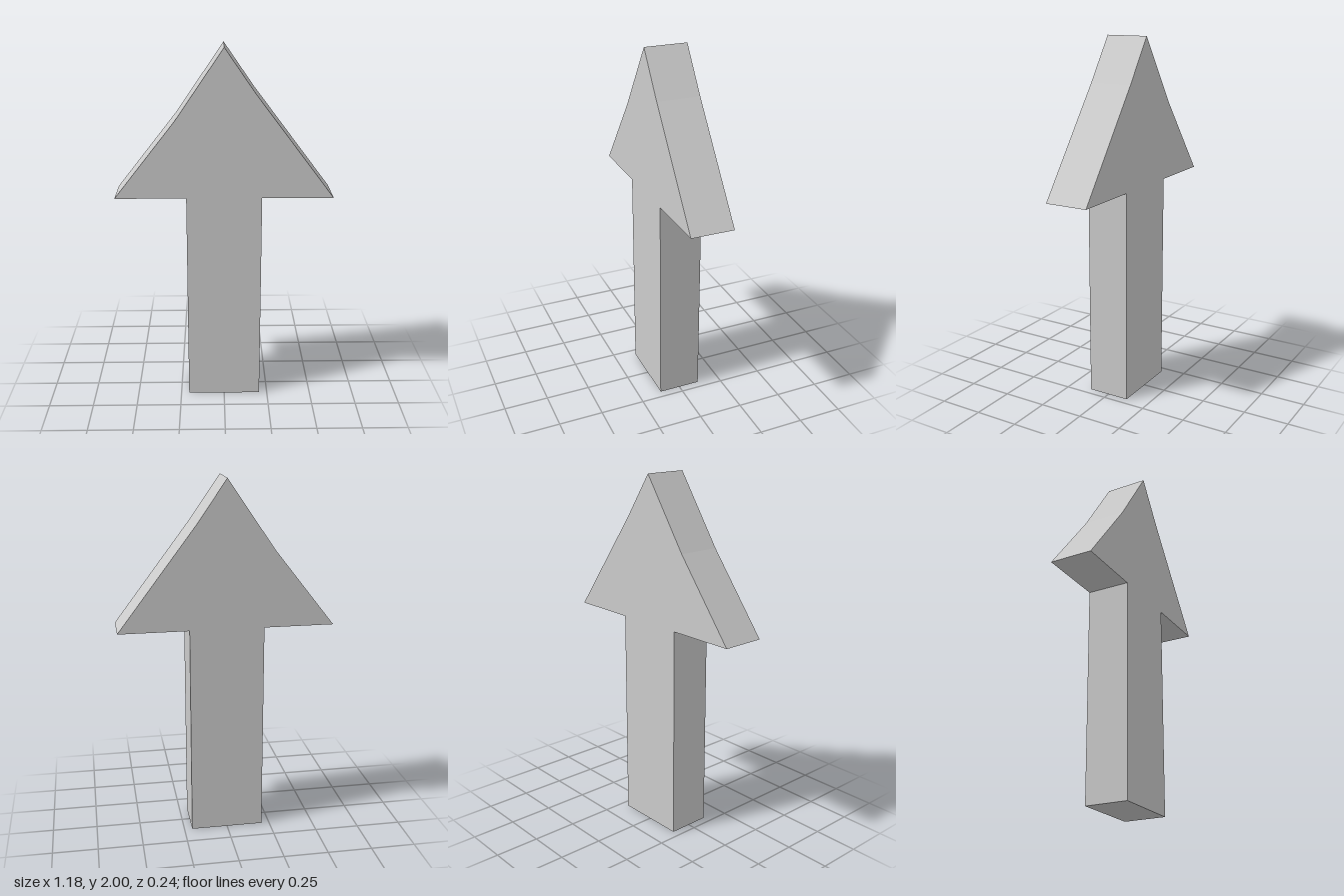
import * as THREE from 'three';

const DEPTH = 0.24;

export function createModel() {
  const group = new THREE.Group();
  group.name = 'upArrow';

  // Arrow outline, counter-clockwise from the foot; the head's slopes bend slightly
  const outline = [
    [-0.205, 0], [0.205, 0], [0.205, 1.197],      // shaft
    [0.592, 1.197], [0.165, 1.762], [0, 2],       // head, left slope
    [-0.26, 1.62], [-0.592, 1.197], [-0.205, 1.197], // head, right slope
  ].map(([x, y]) => new THREE.Vector2(x, y));

  const geometry = new THREE.ExtrudeGeometry(new THREE.Shape(outline), {
    depth: DEPTH,
    bevelEnabled: false,
  });
  geometry.translate(0, 0, -DEPTH / 2);

  const material = new THREE.MeshStandardMaterial({ color: 0xcccccc, flatShading: true });
  const arrow = new THREE.Mesh(geometry, material);
  arrow.name = 'arrow';
  group.add(arrow);

  return group;
}
